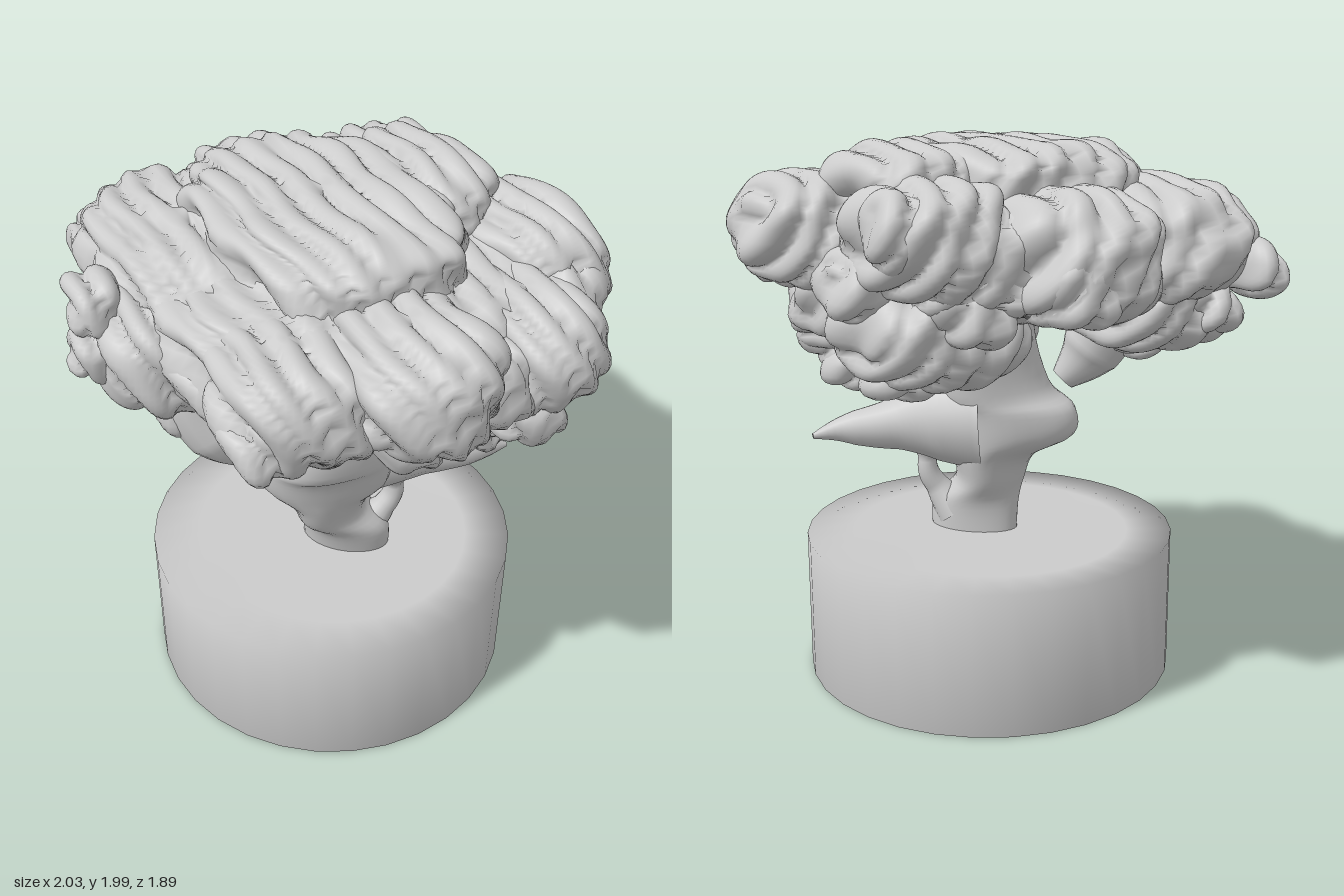
import * as THREE from 'three';
import { mergeVertices } from 'three/addons/utils/BufferGeometryUtils.js';

const grey = new THREE.MeshStandardMaterial({ color: 0xcccccc });
const bark = new THREE.MeshStandardMaterial({ color: 0xcccccc, side: THREE.DoubleSide });

function part(parent, name, geometry, material = grey) {
  const mesh = new THREE.Mesh(geometry, material);
  mesh.name = name;
  parent.add(mesh);
  return mesh;
}

// Weld the seams so the shading stays smooth all round
function smooth(g) {
  g.deleteAttribute('uv');
  g.deleteAttribute('normal');
  g = mergeVertices(g, 1e-4);
  g.computeVertexNormals();
  return g;
}

// Leaf clump: boxy ellipsoid, long axis u = (1,0,1), cross axis v = (1,0,-1),
// swollen into parallel ridges with beaded ends; a lower "top" flattens it
function clump([x, y, z, ru, ry, rv], detail = 60, top = 0.75) {
  const g = new THREE.SphereGeometry(1, detail, Math.round(detail * 0.7));
  const pos = g.attributes.position;
  const n = new THREE.Vector3();
  const box = (t, e) => Math.sign(t) * Math.abs(t) ** e;
  const s = Math.SQRT1_2;
  for (let i = 0; i < pos.count; i++) {
    n.fromBufferAttribute(pos, i);
    const u = box(n.x, 0.78) * ru * 0.93, v = box(n.z, 0.78) * rv * 0.93;
    const h = box(n.y, top) * ry * 0.93;
    const wu = u + (x + z) * s, wv = v + (x - z) * s, wy = y + h;
    const phase = (wv + 0.5 * wy + 0.012 * Math.sin(wu * 11)) / 0.11;
    const ridge = Math.sqrt(Math.abs(Math.sin(Math.PI * phase))) - 0.72;
    const bead = Math.sin(wu * 17 + wy * 9) * Math.sin(wv * 13 + wy * 15 + 1);
    const d = 0.05 * ridge + 0.028 * bead * (1 - 0.8 * n.y * n.y);
    const a = u + n.x * d, b = v + n.z * d;
    pos.setXYZ(i, x + (a + b) * s, wy + n.y * d, z + (a - b) * s);
  }
  // The u, y, v frame is left-handed, so turn the faces round
  const idx = g.index.array;
  for (let i = 0; i < idx.length; i += 3) [idx[i], idx[i + 1]] = [idx[i + 1], idx[i]];
  return smooth(g);
}

// Tapered limb along a curve, with a radius for each path point
function limb(points, radii) {
  const curve = new THREE.CatmullRomCurve3(points.map((p) => new THREE.Vector3(...p)));
  const segs = 24, sides = 16;
  const g = new THREE.TubeGeometry(curve, segs, 1, sides);
  const pos = g.attributes.position, c = new THREE.Vector3(), p = new THREE.Vector3();
  for (let i = 0; i <= segs; i++) {
    curve.getPointAt(i / segs, c);
    const f = (i / segs) * (radii.length - 1), k = Math.min(Math.floor(f), radii.length - 2);
    const r = THREE.MathUtils.lerp(radii[k], radii[k + 1], f - k);
    for (let j = 0; j <= sides; j++) {
      const q = i * (sides + 1) + j;
      p.fromBufferAttribute(pos, q).sub(c).multiplyScalar(r).add(c);
      pos.setXYZ(q, p.x, p.y, p.z);
    }
  }
  return smooth(g);
}

// Trunk lofted through oval rings: y, centre x, centre z, radius x, radius z
function loft(rings, sides = 32, rows = 36) {
  const curves = [1, 2, 3, 4].map((k) =>
    new THREE.SplineCurve(rings.map((r) => new THREE.Vector2(r[0], r[k]))));
  const g = new THREE.CylinderGeometry(1, 1, 1, sides, rows, true);
  const pos = g.attributes.position;
  for (let i = 0; i < pos.count; i++) {
    const t = THREE.MathUtils.clamp(pos.getY(i) + 0.5, 0, 1);
    const [cx, cz, rx, rz] = curves.map((c) => c.getPoint(t));
    const a = Math.atan2(pos.getZ(i), pos.getX(i));
    const w = 1 + 0.05 * Math.sin(4 * a + 1) * Math.sin(Math.PI * t);
    pos.setXYZ(i, cx.y + Math.cos(a) * rx.y * w, cx.x, cz.y + Math.sin(a) * rz.y * w);
  }
  return smooth(g);
}

export function createModel() {
  const model = new THREE.Group();
  model.name = 'pottedTree';

  // Round pot, softly shaded over its edges, with a flat bed of soil
  const profile = [[0, 0], [0.6, 0], [0.687, 0], [0.687, 0.52], [0.52, 0.515], [0, 0.51]];
  part(model, 'pot', new THREE.LatheGeometry(profile.map((p) => new THREE.Vector2(...p)), 32))
    .position.set(0.065, 0, 0.015);

  // Trunk, side branch, root strand and limbs
  const wood = new THREE.Group();
  wood.name = 'trunkAndLimbs';
  model.add(wood);
  part(wood, 'trunk', loft([
    [0.48, 0.13, 0.035, 0.165, 0.095], [0.61, 0.13, 0.055, 0.165, 0.12],
    [0.7, 0.08, 0.08, 0.13, 0.17], [0.8, 0.07, 0.09, 0.16, 0.2],
    [0.88, 0.03, 0.1, 0.26, 0.22], [0.98, 0.04, 0.11, 0.27, 0.24],
    [1.06, 0.09, 0.12, 0.22, 0.27], [1.3, 0.11, 0.11, 0.18, 0.28], [1.5, 0.1, 0.1, 0.25, 0.32],
  ]), bark);
  part(wood, 'sideBranch', limb(
    [[0.1, 0.94, 0.02], [0.3, 0.93, -0.03], [0.46, 0.91, -0.09], [0.6, 0.9, -0.15], [0.68, 0.885, -0.21]],
    [0.2, 0.16, 0.1, 0.065, 0.01]), bark);
  part(wood, 'rootStrand', limb(
    [[0.2, 0.57, 0.02], [0.26, 0.65, 0.01], [0.3, 0.73, -0.01], [0.29, 0.9, 0]],
    [0.08, 0.045, 0.035, 0.11]), bark);
  part(wood, 'leftLimb', limb(
    [[-0.15, 1.04, 0.3], [-0.24, 1.14, 0.33], [-0.32, 1.28, 0.33], [-0.32, 1.45, 0.3]],
    [0.05, 0.12, 0.13, 0.14]), bark);
  part(wood, 'rightLimb', limb(
    [[0.12, 1.05, 0.05], [0.25, 1.22, 0.05], [0.4, 1.4, 0.03]], [0.14, 0.13, 0.16]), bark);
  const bud = part(wood, 'bud', new THREE.SphereGeometry(0.042, 12, 8));
  bud.scale.set(0.9, 1.7, 0.9);
  bud.position.set(0, 1.23, 0.37);

  // Canopy clumps: centre x, y, z, then radii along the ridge, up, and across
  const canopy = new THREE.Group();
  canopy.name = 'canopy';
  model.add(canopy);
  const clumps = {
    crown: [0.02, 1.83, 0, 0.58, 0.15, 0.42],
    core: [0.03, 1.6, 0, 0.78, 0.23, 0.7],
    crownBack: [0.26, 1.83, -0.36, 0.34, 0.14, 0.24],
    leftClump: [-0.43, 1.63, 0.06, 0.56, 0.23, 0.34],
    leftFrontClump: [-0.47, 1.5, 0.36, 0.28, 0.22, 0.19],
    frontClump: [0.1, 1.6, 0.64, 0.3, 0.2, 0.25],
    frontRightClump: [0.43, 1.65, 0.49, 0.34, 0.21, 0.26],
    rightClump: [0.71, 1.58, 0.08, 0.34, 0.2, 0.22],
    rightBackClump: [0.63, 1.67, -0.31, 0.36, 0.2, 0.25],
    backClump: [0.09, 1.68, -0.6, 0.33, 0.2, 0.25],
    leftBackClump: [-0.33, 1.62, -0.43, 0.34, 0.23, 0.28],
    lowerLeftClump: [-0.48, 1.42, 0, 0.36, 0.17, 0.25],
    lowerBackClump: [0.15, 1.36, -0.42, 0.32, 0.2, 0.32],
    lowerRightClump: [0.6, 1.36, 0.02, 0.22, 0.2, 0.24],
  };
  for (const [name, c] of Object.entries(clumps)) {
    const broad = name === 'crown' || name === 'core';
    part(canopy, name, clump(c, broad ? 100 : 60, broad ? 0.5 : 0.75));
  }

  // Loose rounded leaf lobes around the rim, in the gaps and underneath
  const lobes = [
    [-0.87, 1.56, -0.1, 0.16, 0.1, 0.09], [-0.62, 1.66, 0.43, 0.12, 0.1, 0.1],
    [-0.62, 1.5, 0.45, 0.12, 0.1, 0.1], [0.07, 1.53, 0.81, 0.13, 0.11, 0.11],
    [0.87, 1.58, 0.12, 0.11, 0.13, 0.11], [0.76, 1.38, 0.2, 0.14, 0.12, 0.12],
    [0.12, 1.72, -0.8, 0.13, 0.13, 0.11], [0.34, 1.52, -0.6, 0.18, 0.12, 0.12],
    [0.58, 1.11, 0, 0.1, 0.08, 0.11], [0.68, 1.22, 0.02, 0.12, 0.11, 0.1],
    [0.37, 1.22, 0.24, 0.15, 0.13, 0.12], [-0.43, 1.26, 0.3, 0.16, 0.12, 0.1],
    [0.25, 1.22, -0.45, 0.18, 0.1, 0.13], [-0.4, 1.55, -0.62, 0.14, 0.13, 0.12],
    [0.45, 1.42, 0.3, 0.2, 0.15, 0.16], [0.64, 1.56, 0.34, 0.16, 0.15, 0.14],
    [0.78, 1.6, -0.12, 0.2, 0.17, 0.15], [-0.12, 1.62, -0.6, 0.18, 0.16, 0.16],
    [-0.2, 1.52, 0.5, 0.2, 0.12, 0.14], [-0.05, 1.45, -0.6, 0.17, 0.11, 0.13],
    [-0.7, 1.43, -0.08, 0.18, 0.1, 0.11], [0.52, 1.42, -0.32, 0.2, 0.14, 0.15],
  ];
  lobes.forEach((c, i) => part(canopy, 'leafLobe' + (i + 1), clump(c, 28)));
  return model;
}
